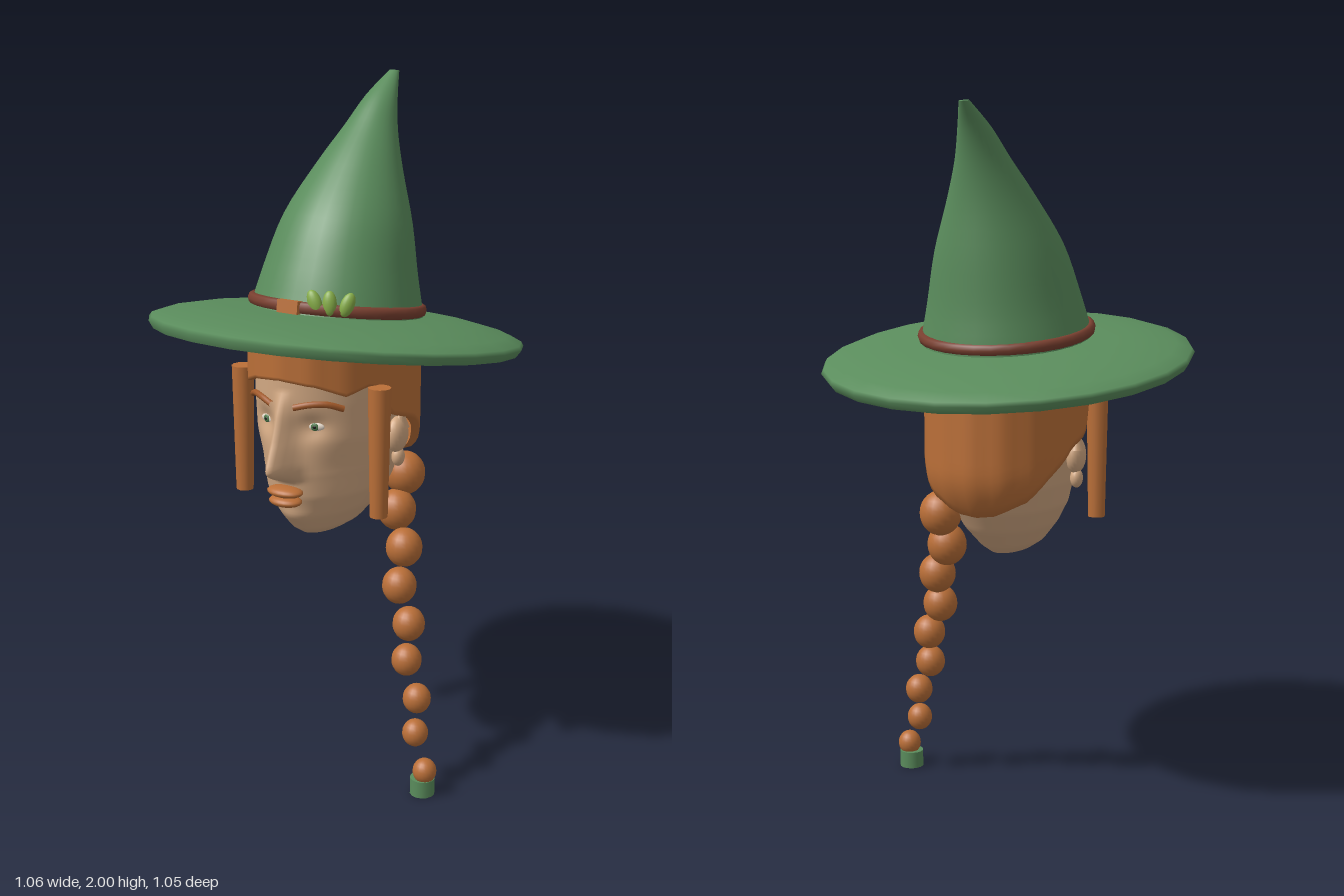
import * as THREE from 'three';

const mat = (name, color, side = THREE.FrontSide) => {
  const m = new THREE.MeshStandardMaterial({ color, side });
  m.name = name;
  return m;
};

// Piecewise linear lookup in [key, value] pairs with rising keys
function lerpTable(t, k, col = 1) {
  if (k <= t[0][0]) return t[0][col];
  for (let i = 1; i < t.length; i++) {
    if (k <= t[i][0]) {
      const f = (k - t[i - 1][0]) / (t[i][0] - t[i - 1][0]);
      return t[i - 1][col] + f * (t[i][col] - t[i - 1][col]);
    }
  }
  return t[t.length - 1][col];
}

// Closed loops stacked upwards; point(angle, t) gives [x, y, z], angle 0 is the front
function loft(segs, rows, point, capped = true) {
  const pos = [], idx = [];
  for (let j = 0; j <= rows; j++)
    for (let i = 0; i < segs; i++) pos.push(...point((i / segs) * Math.PI * 2, j / rows));
  for (let j = 0; j < rows; j++)
    for (let i = 0; i < segs; i++) {
      const a = j * segs + i, b = j * segs + (i + 1) % segs;
      idx.push(a, b, b + segs, a, b + segs, a + segs);
    }
  if (capped) for (const t of [0, 1]) {
    const s = pos.length / 3, c = [0, 0, 0];
    for (let i = 0; i < segs; i++) {
      const p = point((i / segs) * Math.PI * 2, t);
      pos.push(...p);
      p.forEach((v, k) => { c[k] += v / segs; });
    }
    pos.push(...c);
    for (let i = 0; i < segs; i++) {
      const a = s + i, b = s + (i + 1) % segs;
      if (t) idx.push(a, b, s + segs); else idx.push(b, a, s + segs);
    }
  }
  const g = new THREE.BufferGeometry();
  g.setAttribute('position', new THREE.Float32BufferAttribute(pos, 3));
  g.setIndex(idx);
  g.computeVertexNormals();
  return g;
}

export function createModel() {
  const green = mat('hatGreen', 0x5a8c5c, THREE.DoubleSide);
  const hairMat = mat('copperHair', 0xba6f38, THREE.DoubleSide);
  const skin = mat('skin', 0xd3a983);
  const bandMat = mat('bandBrown', 0x7a4030);
  const leafMat = mat('leafGreen', 0x86ad48);
  const browMat = mat('browRust', 0xa35a2a);
  const white = mat('eyeWhite', 0xe2d6c8);
  const iris = mat('irisGreen', 0x4f7a4c);
  const black = mat('pupilBlack', 0x1c1a18);

  const model = new THREE.Group();
  const add = (parent, name, geo, m, x = 0, y = 0, z = 0) => {
    const mesh = new THREE.Mesh(geo, m);
    mesh.name = name;
    mesh.position.set(x, y, z);
    parent.add(mesh);
    return mesh;
  };
  const blob = (parent, name, m, p, s) => {
    const b = add(parent, name, new THREE.SphereGeometry(1, 20, 14), m, ...p);
    b.scale.set(...s);
    return b;
  };

  // Head: [y, half width, front z, back z], with nose and eye sockets pushed into the front
  const skull = [
    [0.745, 0.055, 0.16, -0.07], [0.765, 0.085, 0.19, -0.1], [0.82, 0.128, 0.227, -0.155],
    [0.88, 0.16, 0.25, -0.195], [0.95, 0.18, 0.262, -0.225], [1.05, 0.196, 0.268, -0.24],
    [1.15, 0.2, 0.273, -0.25], [1.28, 0.2, 0.275, -0.25],
  ];
  const nose = [[0.925, 0], [0.945, 0.05], [0.965, 0.088], [0.98, 0.092], [1.05, 0.058], [1.13, 0.028], [1.19, 0]];
  const bump = (x, y, cx, cy, sx, sy) => Math.exp(-(((x - cx) / sx) ** 2) - ((y - cy) / sy) ** 2);
  add(model, 'head', loft(96, 60, (a, t) => {
    const y = 0.745 + 0.535 * t;
    const w = lerpTable(skull, y), f = lerpTable(skull, y, 2), b = lerpTable(skull, y, 3);
    let x = w * Math.sin(a), z = (f + b) / 2 + ((f - b) / 2) * Math.cos(a);
    if (Math.cos(a) > 0) {
      const ax = Math.abs(x), nw = 0.02 + 0.013 * Math.min(1, Math.max(0, (1.14 - y) / 0.16));
      z += lerpTable(nose, y) * Math.exp(-((x / nw) ** 2));
      z -= 0.02 * bump(ax, y, 0.075, 1.09, 0.04, 0.035);
      z -= 0.012 * bump(ax, y, 0.13, 0.96, 0.04, 0.06);
      z += 0.01 * bump(ax, y, 0, 0.81, 0.05, 0.03);
    }
    return [x, y, z];
  }), skin);

  // Lips
  blob(model, 'upperLip', hairMat, [0, 0.9, 0.265], [0.055, 0.016, 0.036]);
  blob(model, 'lowerLip', hairMat, [0, 0.872, 0.263], [0.05, 0.016, 0.036]);

  for (const s of [-1, 1]) {
    // Eyes and brows
    const eye = new THREE.Group();
    eye.name = s > 0 ? 'leftEye' : 'rightEye';
    eye.position.set(s * 0.077, 1.09, 0.229);
    eye.rotation.y = s * 0.25;
    model.add(eye);
    blob(eye, 'eyeball', white, [0, 0, 0], [0.026, 0.012, 0.008]);
    blob(eye, 'iris', iris, [0, 0, 0.006], [0.011, 0.011, 0.004]);
    blob(eye, 'pupil', black, [0, 0, 0.0085], [0.005, 0.005, 0.003]);
    const arc = new THREE.CatmullRomCurve3([[0.035, 1.147, 0.274], [0.075, 1.157, 0.258], [0.115, 1.158, 0.232], [0.148, 1.143, 0.198]]
      .map(([x, y, z]) => new THREE.Vector3(s * x, y, z)));
    add(model, 'eyebrow', new THREE.TubeGeometry(arc, 12, 0.009, 8), browMat);

    // Pointed ears with lobes
    const ear = new THREE.Group();
    ear.name = s > 0 ? 'leftEar' : 'rightEar';
    model.add(ear);
    blob(ear, 'earShell', skin, [s * 0.205, 1.03, 0.005], [0.028, 0.052, 0.042]);
    const tip = add(ear, 'earTip', new THREE.ConeGeometry(0.032, 0.065, 14), skin, s * 0.213, 1.08, -0.004);
    tip.scale.x = 0.6;
    blob(ear, 'earLobe', skin, [s * 0.208, 0.965, 0.003], [0.018, 0.028, 0.022]);

    // Hanging side lock
    add(model, 'sideLock', new THREE.CylinderGeometry(0.032, 0.025, 0.37, 12), hairMat, s * 0.225, 1.015, 0.138);
  }

  // Hair shell with a fringe in front and a point at the nape; [angle in degrees, edge height]
  const edge = [[0, 1.222], [25, 1.21], [45, 1.18], [60, 1.2], [69, 1.19], [80, 1.1], [104, 1.06], [125, 0.985], [140, 0.925], [165, 0.885], [180, 0.88]];
  add(model, 'hair', loft(72, 16, (a, t) => {
    const deg = a > Math.PI ? 360 - (a * 180) / Math.PI : (a * 180) / Math.PI;
    const low = lerpTable(edge, deg), top = 1.305 + 0.043 * Math.cos(a);
    const y = low + (top - low) * Math.max(0, (t * 16 - 1) / 15);
    let r = 1 - 0.18 * Math.min(1, Math.max(0, (1.01 - y) / 0.13)) ** 2 + 0.008 * Math.cos(16 * a);
    if (t === 0) r -= 0.1;
    return [0.226 * r * Math.sin(a), y, 0.288 * r * Math.cos(a)];
  }, false), hairMat);

  // Braid of shrinking beads, held by a tie
  const braid = [
    [0.15, 0.865, -0.14], [0.15, 0.765, -0.095], [0.197, 0.668, -0.058], [0.207, 0.566, -0.015], [0.255, 0.467, 0.012],
    [0.265, 0.367, 0.04], [0.314, 0.267, 0.064], [0.323, 0.17, 0.087], [0.37, 0.073, 0.113],
  ];
  braid.forEach((p, i) => {
    const r = 0.06 - 0.0032 * i;
    blob(model, 'braidBead', hairMat, p, [r, r * 1.08, r]);
  });
  add(model, 'braidTie', new THREE.CylinderGeometry(0.036, 0.036, 0.05, 14), green, 0.363, 0.025, 0.112);

  // Crown of the hat: [height, centre z, radius], bending backwards
  const crown = [
    [1.33, 0, 0.248], [1.37, -0.01, 0.24], [1.47, -0.028, 0.216], [1.61, -0.066, 0.18], [1.75, -0.128, 0.12],
    [1.85, -0.188, 0.075], [1.93, -0.245, 0.045], [1.997, -0.315, 0.014],
  ];
  const spine = new THREE.CatmullRomCurve3(crown.map(([y, z, r]) => new THREE.Vector3(r, y, z)));
  add(model, 'hatCrown', loft(32, 28, (a, t) => {
    const p = spine.getPoint(t);
    return [p.x * Math.sin(a), p.y + 0.16 * p.x * Math.cos(a), p.z + p.x * Math.cos(a)];
  }), green);

  // Tilted brim, band, buckle and leaves
  const hat = new THREE.Group();
  hat.name = 'hatBase';
  hat.position.y = 1.298;
  hat.rotation.x = -0.15;
  model.add(hat);
  const lathe = (pts) => new THREE.LatheGeometry(pts.map(([x, y]) => new THREE.Vector2(x, y)), 24);
  add(hat, 'brimUnderside', lathe([[0, 0.015], [0.25, 0.015], [0.4, 0.002], [0.515, -0.018]]), green);
  add(hat, 'brimTop', lathe([[0.515, -0.018], [0.529, 0.003], [0.522, 0.014], [0.48, 0.03], [0.4, 0.047], [0.32, 0.057], [0.22, 0.064]]), green);
  const band = add(hat, 'hatBand', new THREE.TorusGeometry(0.239, 0.013, 8, 32), bandMat, 0, 0.08, 0.004);
  band.rotation.x = Math.PI / 2;
  band.scale.z = 1.3;
  add(hat, 'buckle', new THREE.BoxGeometry(0.065, 0.035, 0.025), hairMat, 0, 0.08, 0.25);
  [[0.068, 0.234, 0.45], [0.108, 0.222, 0.1], [0.15, 0.2, -0.3]].forEach(([x, z, roll]) => {
    const leaf = blob(hat, 'leaf', leafMat, [x, 0.1, z], [0.019, 0.034, 0.014]);
    leaf.rotation.set(0, Math.atan2(x, z), roll);
  });

  return model;
}
